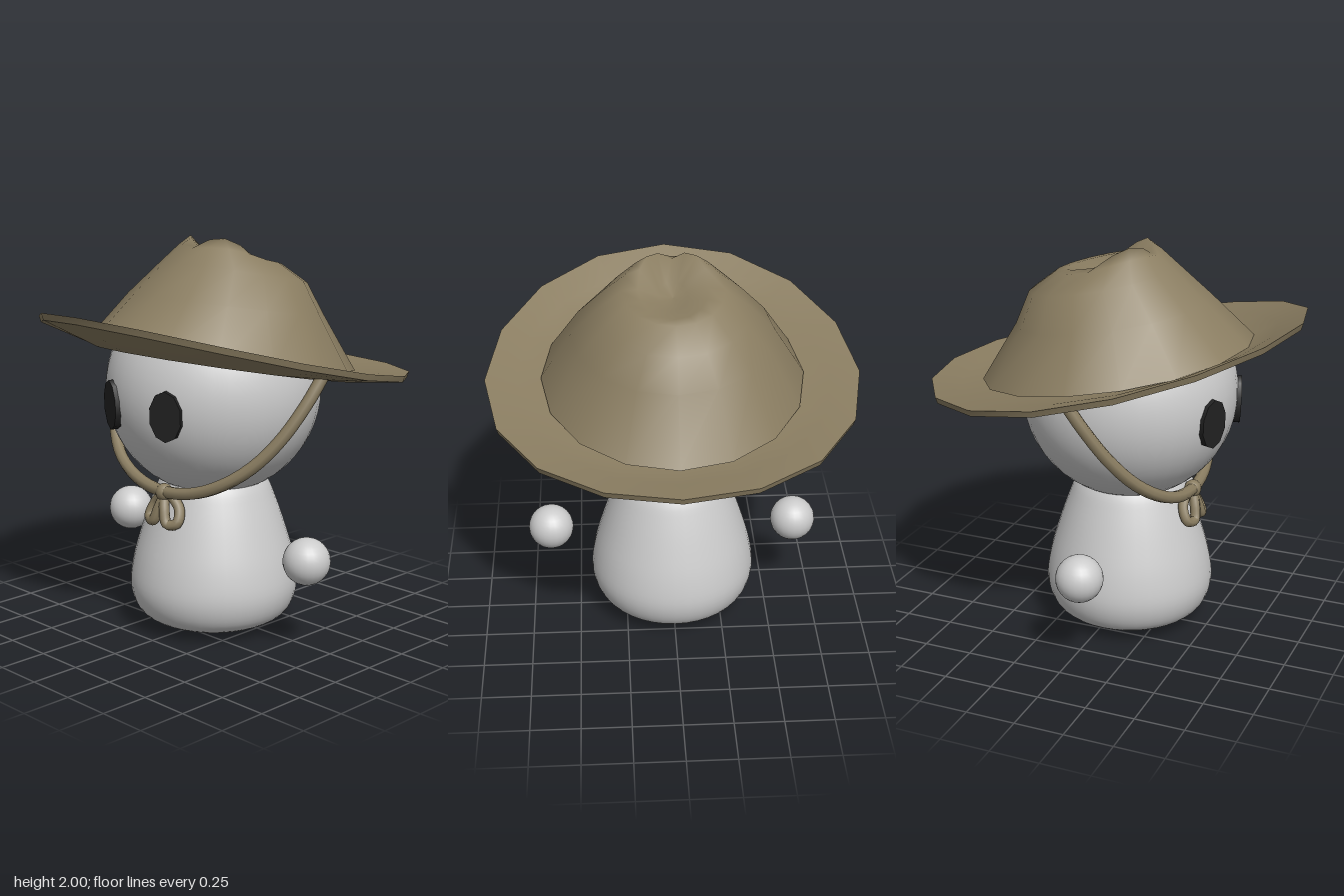
import * as THREE from 'three';
import { toCreasedNormals } from 'three/addons/utils/BufferGeometryUtils.js';

const SIDES = 16;
const CX = -0.065; // axis of the figure, which faces -x

const greyMat = new THREE.MeshStandardMaterial({ color: 0xcccccc });
const hatMat = new THREE.MeshStandardMaterial({ color: 0x8a7d61, side: THREE.DoubleSide });
const eyeMat = new THREE.MeshStandardMaterial({ color: 0x222222 });

function part(group, name, geometry, material) {
  const mesh = new THREE.Mesh(geometry, material);
  mesh.name = name;
  group.add(mesh);
  return mesh;
}

// Skin a list of rings; each ring is a function of angle giving [x, y, z]
function loft(rings) {
  const pos = [], index = [];
  rings.forEach((ring, i) => {
    for (let j = 0; j < SIDES; j++) {
      pos.push(...ring((j / SIDES) * Math.PI * 2));
      if (i === rings.length - 1) continue;
      const k = (j + 1) % SIDES;
      const a = i * SIDES + j, b = i * SIDES + k;
      index.push(a, b, b + SIDES, a, b + SIDES, a + SIDES);
    }
  });
  const g = new THREE.BufferGeometry();
  g.setAttribute('position', new THREE.Float32BufferAttribute(pos, 3));
  g.setIndex(index);
  g.computeVertexNormals();
  return g;
}

// Brim ring: tilted plane, curling upwards toward the edge, more at the ends
const brimRing = (r, thick) => (t) => {
  const out = Math.max(0, (r - 0.66) / 0.285);
  const x = -r * Math.cos(t) + out * (0.04 * Math.sin(t) ** 2 - 0.004);
  const lift = out * (0.07 + 0.03 * Math.cos(2 * t) + 0.01 * Math.cos(t));
  return [x, 1.36 - 0.205 * x + lift + thick, r * 0.985 * Math.sin(t)];
};

// Crown ring: tilted ellipse from (x0, y0) to (x1, y1), with an optional pinch
const crownRing = (x0, y0, x1, y1, rz, pinch = 0) => (t) => {
  const u = (1 - Math.cos(t)) / 2;
  const bump = Math.cos(t) > 0 ? pinch * Math.abs(Math.sin(2 * t)) : 0;
  return [x0 + (x1 - x0) * u, y0 + (y1 - y0) * u + bump, rz * Math.sin(t)];
};

function tube(points, radius, segments, closed = false) {
  const path = new THREE.CatmullRomCurve3(points.map((p) => new THREE.Vector3(...p)), closed);
  return new THREE.TubeGeometry(path, segments, radius, 8, closed);
}

export function createModel() {
  const model = new THREE.Group();
  model.name = 'hattedFigure';

  // Bell-shaped body with a softly rounded base
  const profile = new THREE.SplineCurve([
    [0, 0], [0.2, 0.012], [0.33, 0.05], [0.4, 0.11], [0.432, 0.22], [0.415, 0.36],
    [0.37, 0.52], [0.315, 0.68], [0.27, 0.78], [0.2, 0.84], [0, 0.87],
  ].map(([r, y]) => new THREE.Vector2(r, y))).getPoints(40);
  profile.forEach((p) => p.set(Math.max(0, p.x), Math.max(0, p.y)));
  part(model, 'body', new THREE.LatheGeometry(profile, 40), greyMat).position.x = CX;

  part(model, 'head', new THREE.SphereGeometry(0.545, 40, 28), greyMat).position.set(CX, 1.25, 0);

  // Floating hands and eyes, mirrored across z
  for (const s of [1, -1]) {
    const side = s > 0 ? 'PlusZ' : 'MinusZ';
    part(model, 'hand' + side, new THREE.SphereGeometry(0.118, 24, 16), greyMat)
      .position.set(CX, s > 0 ? 0.47 : 0.48, s * 0.645);

    const disc = new THREE.CylinderGeometry(1, 1, 0.05, 10).rotateX(Math.PI / 2);
    disc.scale(0.085, 0.125, 1);
    const eye = part(model, 'eye' + side, disc, eyeMat);
    eye.position.set(-0.562, 1.2, s * 0.19);
    eye.lookAt(-0.562 - 0.93, 1.17, s * (0.19 + 0.36));
  }

  // Hat
  const hat = new THREE.Group();
  hat.name = 'hat';
  model.add(hat);
  const brim = loft([
    brimRing(0.6, 0), brimRing(0.66, 0), brimRing(0.8, 0), brimRing(0.935, 0),
    brimRing(0.945, 0.03), brimRing(0.8, 0.035), brimRing(0.66, 0.035), brimRing(0.6, 0.035),
    brimRing(0.6, 0),
  ]);
  part(hat, 'brim', toCreasedNormals(brim, 0.7), hatMat);
  part(hat, 'crown', loft([
    crownRing(-0.69, 1.535, 0.69, 1.28, 0.655),
    crownRing(-0.46, 1.74, 0.51, 1.58, 0.5),
    crownRing(-0.29, 1.89, 0.45, 1.74, 0.37),
    crownRing(-0.21, 1.955, 0.32, 1.84, 0.25, 0.02),
    crownRing(-0.17, 1.96, 0.27, 1.85, 0.17, 0.06),
    crownRing(-0.06, 1.89, 0.15, 1.84, 0.07),
    crownRing(0.04, 1.85, 0.04, 1.85, 0),
  ]), hatMat);

  // Chin strap running under the face from both sides of the brim
  const half = [
    [-0.03, 1.39, 0.7], [-0.1, 1.27, 0.67], [-0.2, 1.1, 0.6],
    [-0.29, 0.96, 0.5], [-0.36, 0.86, 0.37], [-0.4, 0.79, 0.2],
  ];
  const mirrored = half.map(([x, y, z]) => [x, y, -z]).reverse();
  part(model, 'chinStrap', tube([...half, [-0.415, 0.765, 0], ...mirrored], 0.031, 40), hatMat);

  // Knot with two hanging loops
  const knot = part(model, 'knot', new THREE.SphereGeometry(0.045, 12, 8), hatMat);
  knot.position.set(-0.41, 0.76, 0);
  for (const s of [1, -1]) {
    part(model, 'bowLoop', tube([
      [-0.4, 0.76, 0], [-0.39, 0.69, s * 0.085], [-0.42, 0.62, s * 0.1],
      [-0.44, 0.61, s * 0.05], [-0.43, 0.68, s * 0.02],
    ], 0.027, 28, true), hatMat);
  }
  return model;
}
